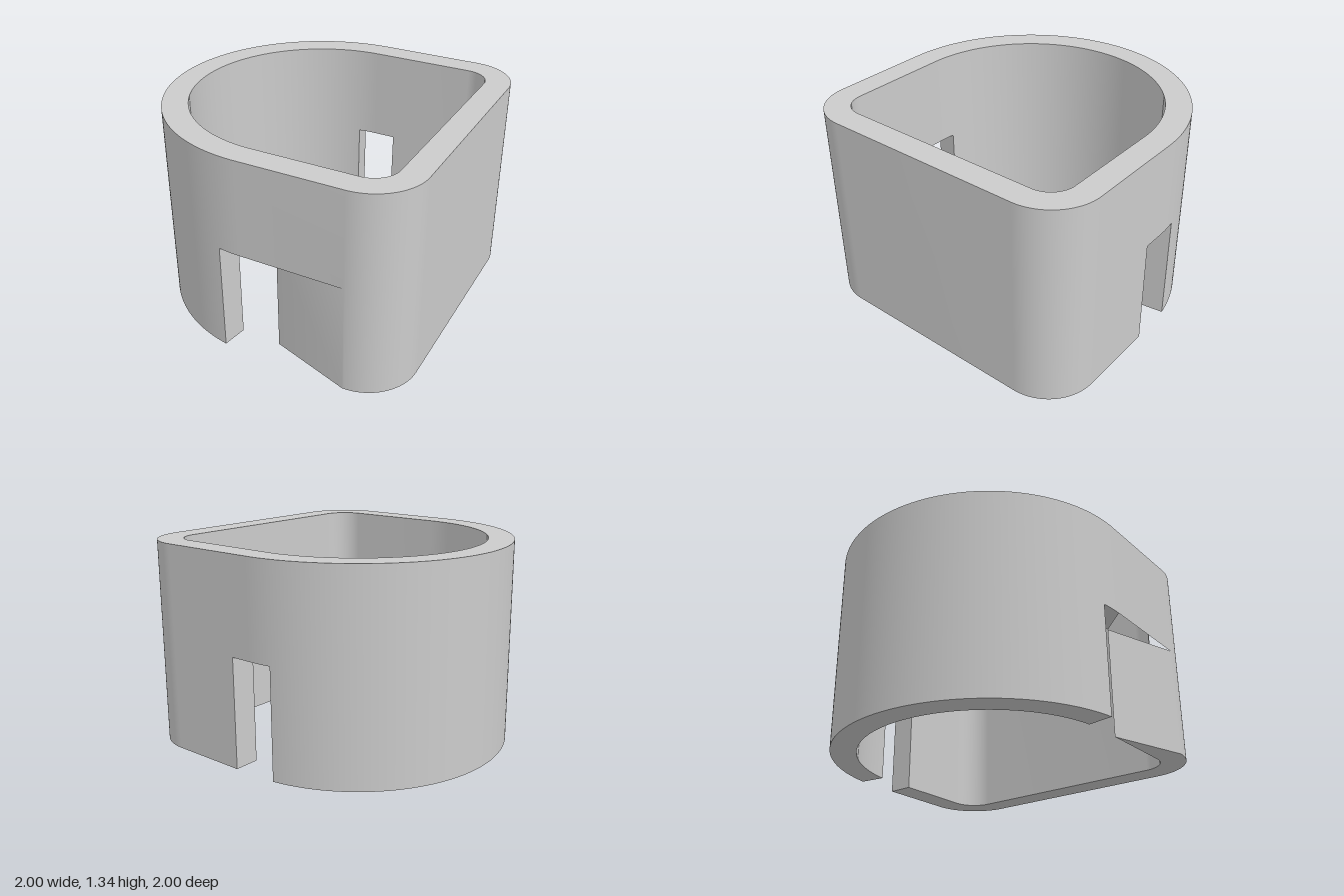
import * as THREE from 'three';
import { mergeGeometries, mergeVertices, toCreasedNormals } from 'three/addons/utils/BufferGeometryUtils.js';

const OUTER = 1, INNER = 0.835, CORNER = 0.67;   // wall radii, centre of the corner rounding
const HEIGHT = 1.335, SLOT_TOP = 0.715;
const SLOT_X = 0.145;                            // straight side of the slots
const CUT = Math.PI / 2 + 0.15;                  // radial side of the slots
const PI = Math.PI, SEGMENTS = 24;

// Rounded half-arcs on the -x side, between the slots
function roundSide(path, r, reverse = false) {
  if (reverse) {
    path.absarc(0, 0, r, 2 * PI - CUT, PI, true);
    path.absarc(0, 0, r, PI, CUT, true);
  } else {
    path.absarc(0, 0, r, CUT, PI, false);
    path.absarc(0, 0, r, PI, 2 * PI - CUT, false);
  }
}

// Two rounded corners on the flat +x side
function flatSide(path, r, reverse = false) {
  const c = CORNER, k = r - CORNER;
  if (reverse) {
    path.absarc(c, c, k, PI / 2, 0, true);
    path.absarc(c, -c, k, 0, -PI / 2, true);
  } else {
    path.absarc(c, -c, k, -PI / 2, 0, false);
    path.absarc(c, c, k, 0, PI / 2, false);
  }
}

// Full D-shaped outline
function outline(path, r) {
  path.moveTo(SLOT_X, -r);
  flatSide(path, r);
  path.lineTo(SLOT_X, r);
  path.absarc(0, 0, r, PI / 2, CUT, false);
  roundSide(path, r);
  path.absarc(0, 0, r, 2 * PI - CUT, 1.5 * PI, false);
  path.closePath();
  return path;
}

// Extrudes upwards from y0 to y1 and leaves out the cap at height openY
function wall(shape, y0, y1, openY) {
  const g = new THREE.ExtrudeGeometry(shape, { depth: y1 - y0, bevelEnabled: false, curveSegments: SEGMENTS });
  g.rotateX(-PI / 2).translate(0, y0, 0);
  const p = g.attributes.position, kept = [];
  for (let i = 0; i < p.count; i += 3) {
    const inCap = [0, 1, 2].every(j => Math.abs(p.getY(i + j) - openY) < 1e-4);
    if (!inCap) for (let j = 0; j < 3; j++) kept.push(p.getX(i + j), p.getY(i + j), p.getZ(i + j));
  }
  const out = new THREE.BufferGeometry();
  out.setAttribute('position', new THREE.Float32BufferAttribute(kept, 3));
  return out;
}

export function createModel() {
  // Closed ring above the slots
  const ring = outline(new THREE.Shape(), OUTER);
  ring.holes.push(outline(new THREE.Path(), INNER));

  // Curved lower wall
  const curved = new THREE.Shape();
  roundSide(curved, OUTER);
  roundSide(curved, INNER, true);
  curved.closePath();

  // Flat lower wall with rounded corners
  const flat = new THREE.Shape();
  flat.moveTo(SLOT_X, -OUTER);
  flatSide(flat, OUTER);
  flat.lineTo(SLOT_X, OUTER);
  flat.lineTo(SLOT_X, INNER);
  flatSide(flat, INNER, true);
  flat.lineTo(SLOT_X, -INNER);
  flat.closePath();

  // Slot ceilings, facing down
  const roof = new THREE.Shape();
  roof.moveTo(SLOT_X, OUTER);
  roof.absarc(0, 0, OUTER, PI / 2, CUT, false);
  roof.absarc(0, 0, INNER, CUT, PI / 2, true);
  roof.lineTo(SLOT_X, INNER);
  roof.closePath();
  const ceilings = [0, 1].map(back => {
    const g = new THREE.ShapeGeometry(roof, SEGMENTS).toNonIndexed();
    g.deleteAttribute('uv');
    g.deleteAttribute('normal');
    g.rotateX(PI / 2);
    if (back) {
      // mirror across z and swap two corners to keep facing down
      const p = g.attributes.position, a = new THREE.Vector3(), b = new THREE.Vector3();
      g.scale(1, 1, -1);
      for (let i = 0; i < p.count; i += 3) {
        a.fromBufferAttribute(p, i);
        b.fromBufferAttribute(p, i + 1);
        p.setXYZ(i, b.x, b.y, b.z);
        p.setXYZ(i + 1, a.x, a.y, a.z);
      }
    }
    return g.translate(0, SLOT_TOP, 0);
  });

  const merged = mergeGeometries([
    wall(ring, SLOT_TOP, HEIGHT, SLOT_TOP),
    wall(curved, 0, SLOT_TOP, SLOT_TOP),
    wall(flat, 0, SLOT_TOP, SLOT_TOP),
    ...ceilings,
  ]);
  const sleeve = new THREE.Mesh(
    toCreasedNormals(mergeVertices(merged, 1e-5), 0.5),
    new THREE.MeshStandardMaterial({ color: 0xcccccc })
  );
  sleeve.name = 'slottedSleeve';

  const model = new THREE.Group();
  model.name = 'slottedCollar';
  model.add(sleeve);
  return model;
}
